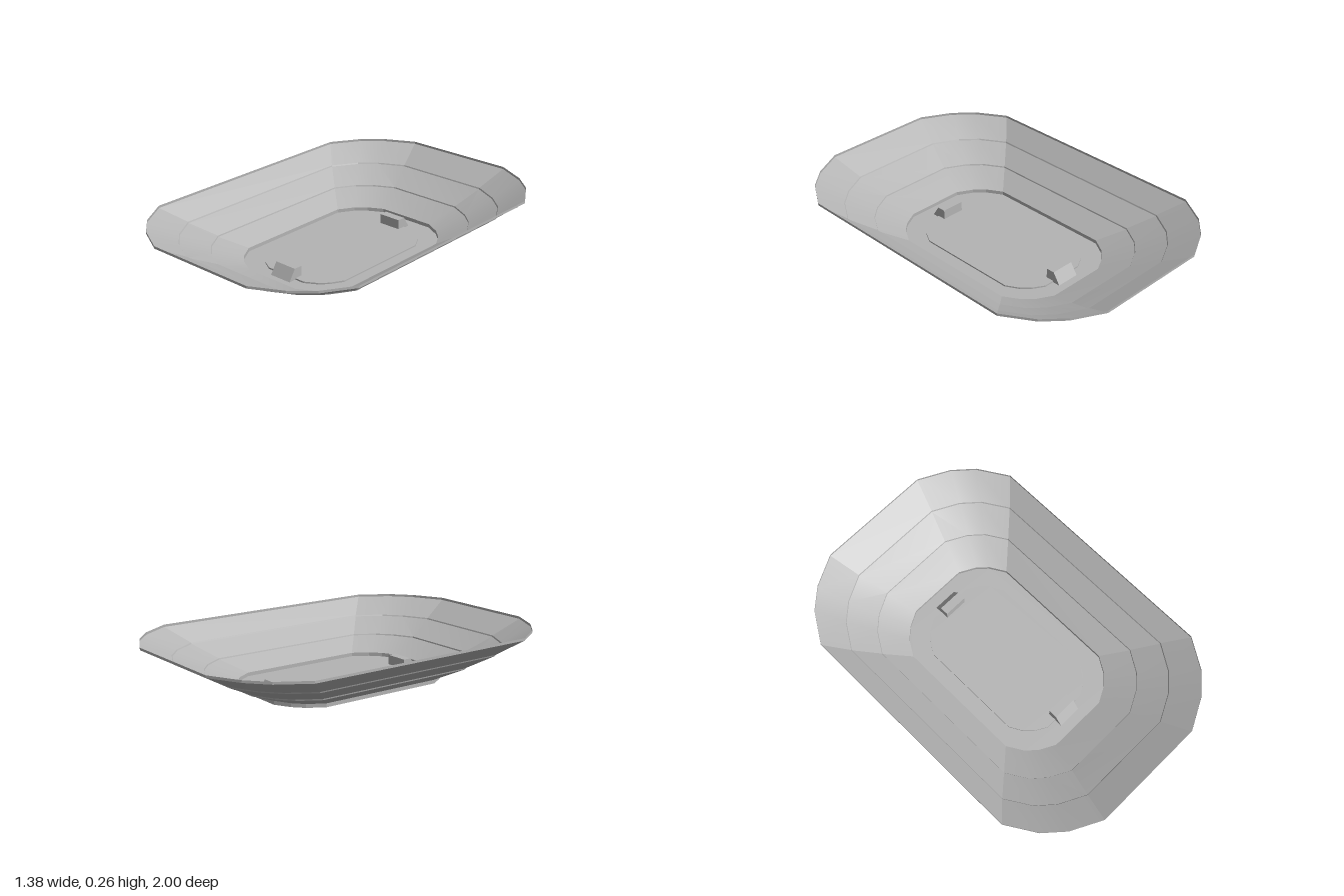
import * as THREE from 'three';
import { toCreasedNormals } from 'three/addons/utils/BufferGeometryUtils.js';

// One quarter of the chamfered oval outline, as fractions of half width and half length
const QUARTER = [[1, 0.66], [0.855, 0.82], [0.7, 0.915], [0.46, 1]];
const flip = (sx, sz) => QUARTER.map(([x, z]) => [x * sx, z * sz]);
const OUTLINE = [
  ...flip(1, 1), ...flip(-1, 1).reverse(), ...flip(-1, -1), ...flip(1, -1).reverse(),
];

// Skin through outline rings given as [half width, half length, height]
function loft(rings) {
  const n = OUTLINE.length, pos = [], index = [];
  for (const [w, l, y] of rings) for (const [x, z] of OUTLINE) pos.push(x * w, y, z * l);
  for (let r = 0; r < rings.length - 1; r++) {
    for (let i = 0; i < n; i++) {
      const a = r * n + i, b = r * n + (i + 1) % n;
      index.push(a, a + n, b, b, a + n, b + n);
    }
  }
  const geo = new THREE.BufferGeometry();
  geo.setAttribute('position', new THREE.Float32BufferAttribute(pos, 3));
  geo.setIndex(index);
  return toCreasedNormals(geo, 0.2);
}

export function createModel() {
  const group = new THREE.Group();
  const grey = new THREE.MeshStandardMaterial({ color: 0xb4b4b4, side: THREE.DoubleSide });
  grey.name = 'light grey';
  const add = (name, geo) => {
    const mesh = new THREE.Mesh(geo, grey);
    mesh.name = name;
    group.add(mesh);
    return mesh;
  };

  // Thin stepped shell: base rim, three sloping tiers, upright top lip
  add('steppedShell', loft([
    [0.352, 0.53, 0], [0.352, 0.53, 0.02],
    [0.47, 0.69, 0.084], [0.472, 0.692, 0.091],
    [0.583, 0.843, 0.163], [0.586, 0.846, 0.17],
    [0.69, 1, 0.251], [0.69, 1, 0.264],
  ]));

  // Flat floor and the low raised pad on it
  const outline = (w, l) => new THREE.Shape(OUTLINE.map(([x, z]) => new THREE.Vector2(x * w, z * l)));
  add('floor', new THREE.ShapeGeometry(outline(0.352, 0.53)).rotateX(Math.PI / 2));
  const pad = new THREE.ExtrudeGeometry(outline(0.265, 0.43), { depth: 0.008, bevelEnabled: false });
  add('floorPad', pad.rotateX(Math.PI / 2).translate(0, 0.009, 0));

  // Wedge blocks at both ends: upright inside, flat top, sloping outside
  const section = new THREE.Shape([[0.385, 0.001], [0.385, 0.062], [0.432, 0.062], [0.472, 0.001]]
    .map(([z, y]) => new THREE.Vector2(z, y)));
  for (const [name, turn] of [['frontBlock', -Math.PI / 2], ['backBlock', Math.PI / 2]]) {
    const geo = new THREE.ExtrudeGeometry(section, { depth: 0.13, bevelEnabled: false });
    add(name, geo.translate(0, 0, -0.065).rotateY(turn));
  }
  return group;
}
